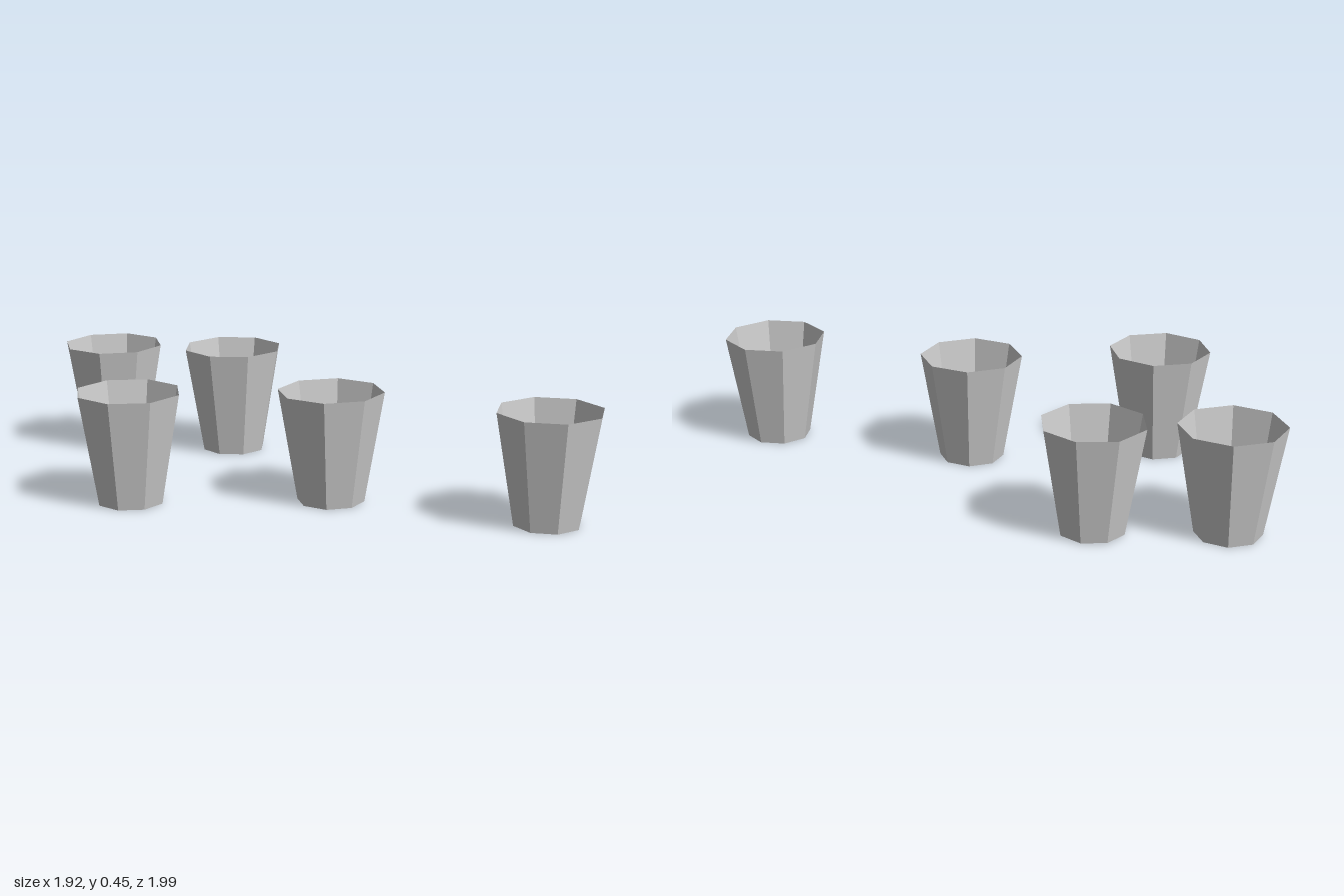
import * as THREE from 'three';

const HEIGHT = 0.45, TOP_R = 0.213, BASE_R = 0.135, SIDES = 8;

// x, z, turn in degrees for each cup
const CUPS = [
  [-0.675, -0.80, 19.7],
  [-0.184, -0.60, 5.4],
  [-0.755, 0.086, 14.3],
  [0.022, 0.274, 22.5],
  [0.745, 0.782, -4.2],
];

export function createModel() {
  const model = new THREE.Group();
  model.name = 'cups';
  const material = new THREE.MeshStandardMaterial({
    color: 0xcccccc, flatShading: true, side: THREE.DoubleSide,
  });

  // Thin open tapered wall, standing on y = 0
  const wallGeometry = new THREE.CylinderGeometry(TOP_R, BASE_R, HEIGHT, SIDES, 1, true);
  wallGeometry.translate(0, HEIGHT / 2, 0);

  // Octagonal floor, facing down, with corners matching the wall
  const baseGeometry = new THREE.CircleGeometry(BASE_R, SIDES);
  baseGeometry.rotateX(Math.PI / 2);

  CUPS.forEach(([x, z, turn], i) => {
    const cup = new THREE.Group();
    cup.name = `cup${i + 1}`;
    const wall = new THREE.Mesh(wallGeometry, material);
    wall.name = 'cupWall';
    const base = new THREE.Mesh(baseGeometry, material);
    base.name = 'cupBase';
    cup.add(wall, base);
    cup.position.set(x, 0, z);
    cup.rotation.y = THREE.MathUtils.degToRad(turn);
    model.add(cup);
  });

  return model;
}
